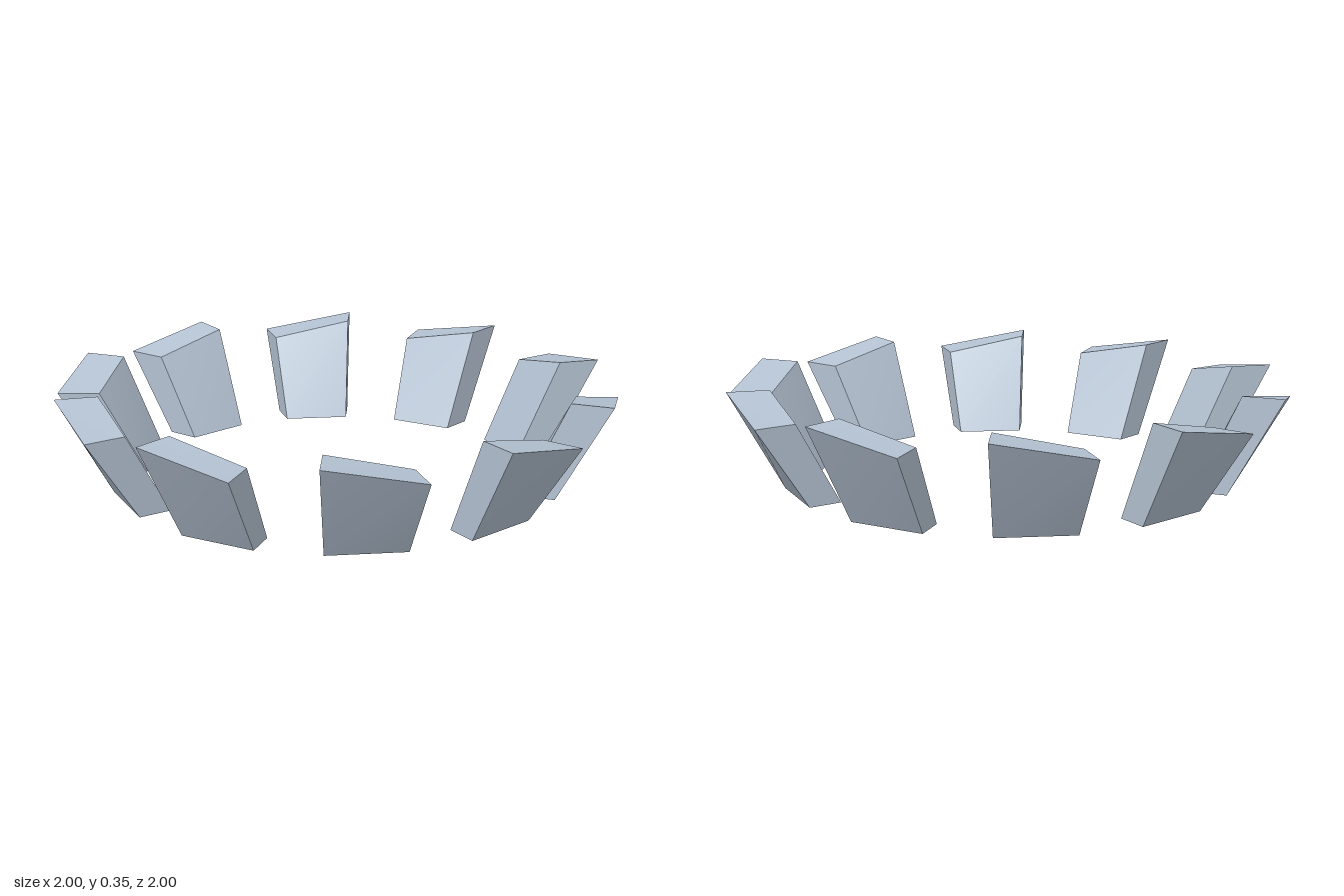
import * as THREE from 'three';

const COUNT = 10;
const START = THREE.MathUtils.degToRad(1.7);  // low end of a block
const END = THREE.MathUtils.degToRad(-18);    // high end of a block

// One leaning block: a box whose corners are moved onto a flaring ring segment
function blockGeometry() {
  const geometry = new THREE.BoxGeometry(1, 1, 1);
  const p = geometry.attributes.position;
  for (let i = 0; i < p.count; i++) {
    const low = p.getX(i) > 0, top = p.getY(i) > 0, outer = p.getZ(i) > 0;
    const angle = low ? START : END;
    const radius = top ? (outer ? 1 : 0.85) : (outer ? 0.806 : 0.687);
    const y = top ? (low ? 0.293 : 0.353) : 0;
    p.setXYZ(i, radius * Math.sin(angle), y, radius * Math.cos(angle));
  }
  geometry.computeVertexNormals(); // corners are split per face, so edges stay sharp
  return geometry;
}

export function createModel() {
  const model = new THREE.Group();
  model.name = 'blockRing';
  const steel = new THREE.MeshStandardMaterial({ color: 0xb4c2d2 });
  steel.name = 'pale steel blue';

  // Ring of evenly spaced blocks
  const geometry = blockGeometry();
  for (let i = 0; i < COUNT; i++) {
    const block = new THREE.Mesh(geometry, steel);
    block.name = `ringBlock${i + 1}`;
    block.rotation.y = (i / COUNT) * Math.PI * 2;
    model.add(block);
  }
  return model;
}
